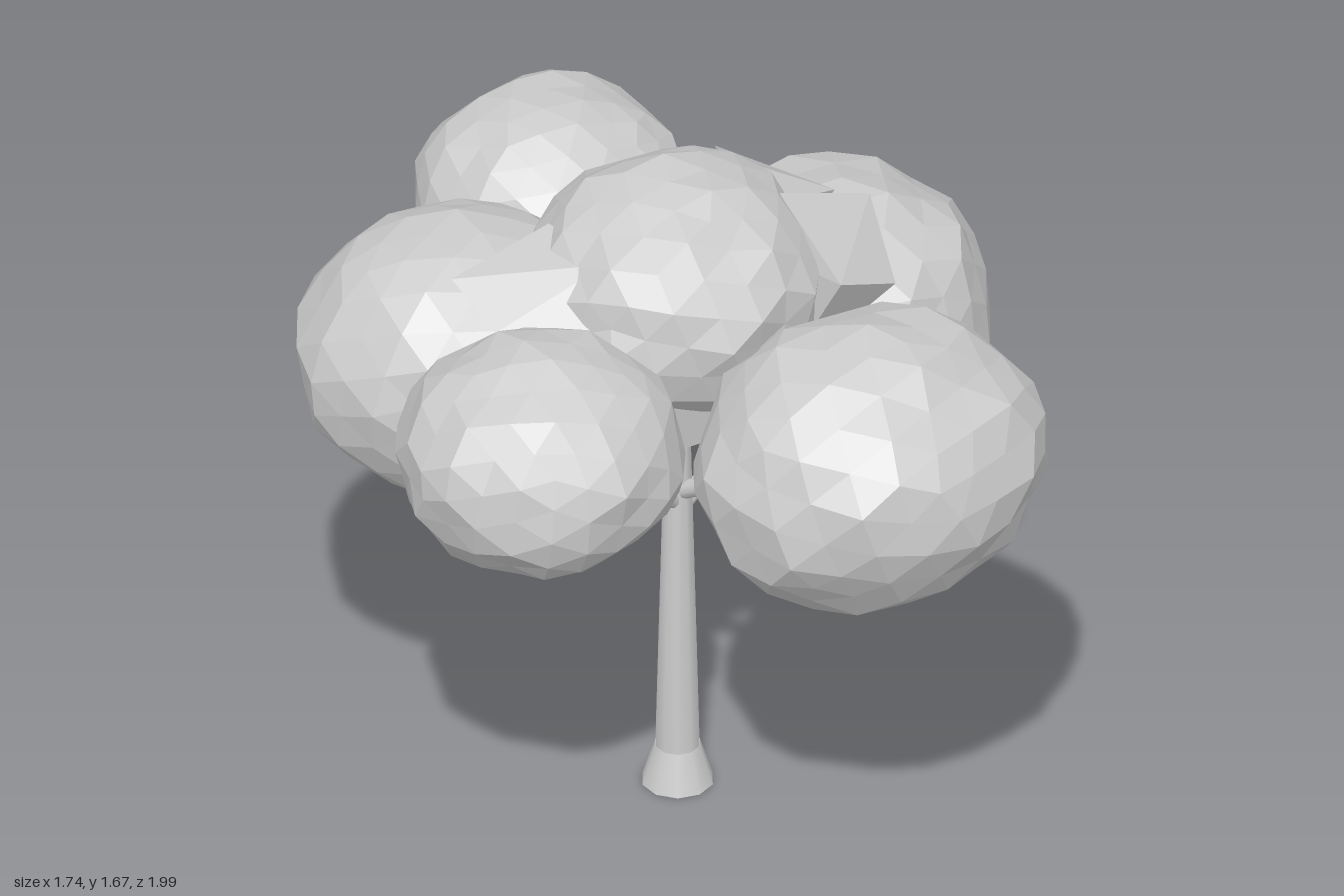
import * as THREE from 'three';
import { ConvexGeometry } from 'three/addons/geometries/ConvexGeometry.js';

const grey = new THREE.MeshStandardMaterial({ color: 0xcccccc });
grey.name = 'lightGrey';

// Repeatable value from -1 to 1 for a point, so shared corners move together
function noise(x, y, z, seed) {
  const q = (v) => Math.round(v * 1000);
  const s = Math.sin(q(x) * 0.129898 + q(y) * 0.78233 + q(z) * 0.37719 + seed * 17.31) * 43758.5453;
  return (s - Math.floor(s)) * 2 - 1;
}

// Faceted, slightly lumpy ball of leaves
function leafBall(radii, seed) {
  const geo = new THREE.IcosahedronGeometry(1, 3);
  const pos = geo.attributes.position;
  const p = new THREE.Vector3();
  for (let i = 0; i < pos.count; i++) {
    p.fromBufferAttribute(pos, i);
    p.multiplyScalar(0.995 + 0.04 * noise(p.x, p.y, p.z, seed));
    pos.setXYZ(i, p.x, p.y, p.z);
  }
  geo.rotateY(seed * 1.3);
  geo.rotateX(seed * 0.7);
  geo.scale(...radii);
  geo.computeVertexNormals(); // unindexed corners give flat faces
  return geo;
}

// Tapered round limb between two points
function limb(from, to, r0, r1) {
  const a = new THREE.Vector3(...from);
  const b = new THREE.Vector3(...to);
  const dir = b.clone().sub(a);
  const mesh = new THREE.Mesh(new THREE.CylinderGeometry(r1, r0, dir.length(), 10), grey);
  mesh.position.copy(a).add(b).multiplyScalar(0.5);
  mesh.quaternion.setFromUnitVectors(new THREE.Vector3(0, 1, 0), dir.normalize());
  return mesh;
}

export function createModel() {
  const tree = new THREE.Group();
  tree.name = 'tree';
  const add = (mesh, name) => {
    mesh.name = name;
    tree.add(mesh);
    return mesh;
  };

  // Trunk with a flared foot
  const tx = 0.01, tz = -0.035;
  add(limb([tx, 0.1, tz], [tx, 1.12, tz], 0.054, 0.028), 'trunk');
  add(limb([tx, 0, tz], [tx, 0.1, tz], 0.086, 0.055), 'trunkFoot');

  // Branches reaching into the crown
  const branches = [
    [0.75, [0.22, 0.89, -0.05]],
    [0.77, [-0.25, 1.0, 0.06]],
    [0.78, [-0.16, 0.93, -0.18]],
    [0.8, [0.06, 0.95, 0.22]],
    [0.85, [0.04, 1.05, -0.27]],
  ];
  branches.forEach(([y, tip], i) => add(limb([tx, y, tz], tip, 0.024, 0.017), `branch${i + 1}`));

  // Leaf balls: name, centre, radii
  const balls = [
    ['frontLeaves', [0.085, 1.2, 0.615], [0.425, 0.34, 0.38]],
    ['frontRightLeaves', [-0.535, 1.22, 0.165], [0.335, 0.28, 0.335]],
    ['backRightLeaves', [-0.37, 1.17, -0.37], [0.39, 0.33, 0.37]],
    ['leftLeaves', [0.485, 1.11, -0.09], [0.385, 0.32, 0.39]],
    ['backLeaves', [0.12, 1.25, -0.685], [0.32, 0.255, 0.31]],
    ['topLeaves', [0, 1.38, -0.045], [0.36, 0.295, 0.35]],
  ];
  balls.forEach(([name, centre, radii], i) => {
    add(new THREE.Mesh(leafBall(radii, i + 1), grey), name).position.set(...centre);
  });

  // Coarse angular leaf clumps that show between the balls
  const clumps = {
    rightClump: [
      [-0.5, 1.48, -0.23], [-0.24, 1.55, -0.2], [-0.24, 1.55, 0.02], [-0.49, 1.41, -0.07],
      [-0.27, 1.4, 0.14], [-0.2, 1.1, -0.1],
    ],
    leftBackClump: [
      [0.35, 1.46, -0.35], [0.24, 1.57, -0.17], [0.24, 1.52, 0], [0.49, 1.43, -0.07],
      [0.2, 1.1, -0.1],
    ],
    leftFrontClump: [
      [0.25, 1.57, 0.04], [0.51, 1.47, 0.04], [0.43, 1.36, 0.25], [0.25, 1.44, 0.28],
      [0.2, 1.42, -0.02], [0.2, 1.1, 0.1],
    ],
    innerClump: [
      [0.22, 1.05, 0.18], [-0.22, 1.06, 0.14], [-0.2, 1.06, -0.22], [0.2, 1.05, -0.24],
      [0.28, 1.36, 0.2], [-0.28, 1.36, 0.16], [-0.26, 1.36, -0.28], [0.28, 1.36, -0.3],
    ],
  };
  for (const [name, corners] of Object.entries(clumps)) {
    const points = corners.map((c) => new THREE.Vector3(...c));
    add(new THREE.Mesh(new ConvexGeometry(points), grey), name);
  }

  return tree;
}
